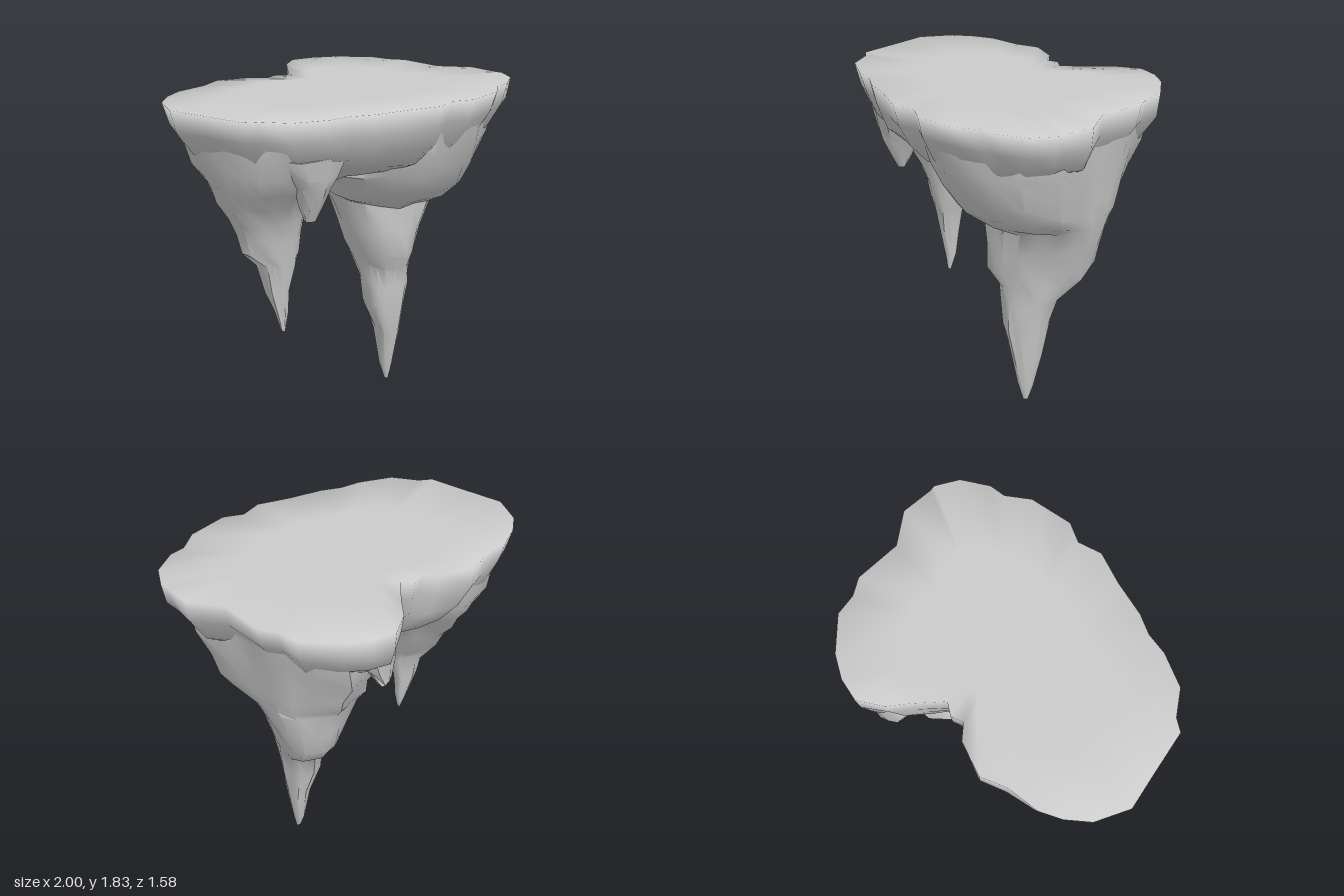
import * as THREE from 'three';
import { toCreasedNormals } from 'three/addons/utils/BufferGeometryUtils.js';

const material = new THREE.MeshStandardMaterial({ color: 0xcccccc });

// Repeatable value in 0..1
const hash = (a, b) => {
  const s = Math.sin(a * 127.1 + b * 311.7) * 43758.5453;
  return s - Math.floor(s);
};

// Plan of the flat top as [x, z], from +x round past the front
const outline = [
  [1, 0], [0.99, 0.14], [0.9, 0.28], [0.82, 0.33], [0.75, 0.46], [0.55, 0.6], [0.43, 0.6],
  [0.33, 0.69], [0.14, 0.71], [-0.06, 0.75], [-0.18, 0.75], [-0.3, 0.785], [-0.5, 0.79],
  [-0.64, 0.71], [-0.72, 0.7], [-0.87, 0.5], [-1, 0.33], [-1, 0.13], [-0.94, 0],
  [-0.86, -0.1], [-0.7, -0.2], [-0.6, -0.31], [-0.4, -0.33], [-0.31, -0.29], [-0.26, -0.34],
  [-0.18, -0.33], [-0.13, -0.5], [-0.1, -0.63], [-0.02, -0.76], [0.11, -0.79], [0.25, -0.78],
  [0.46, -0.7], [0.53, -0.6], [0.62, -0.54], [0.73, -0.3], [0.91, -0.2], [0.98, -0.03],
];

// How far out [x, z] lies, as a fraction of the plan's edge in that direction
function reach(x, z) {
  for (let i = 0; i < outline.length; i++) {
    const [ax, az] = outline[i];
    const [bx, bz] = outline[(i + 1) % outline.length];
    if (ax * z - az * x >= 0 && x * bz - z * bx > 0) {
      return (x * (bz - az) - z * (bx - ax)) / (ax * bz - az * bx);
    }
  }
  return 0;
}

// Skin a stack of equal-length rings, listed from top to bottom, and close both ends
function loft(rings) {
  const n = rings[0].length;
  const positions = rings.flat(2);
  const index = [];
  for (let r = 0; r < rings.length - 1; r++) {
    for (let i = 0; i < n; i++) {
      const j = (i + 1) % n;
      const a = r * n + i, b = r * n + j, c = a + n, d = b + n;
      index.push(a, b, c, b, d, c);
    }
  }
  const addCap = (ring, start, isTop) => {
    const middle = [0, 1, 2].map((k) => ring.reduce((sum, p) => sum + p[k], 0) / n);
    const m = positions.length / 3;
    positions.push(...middle);
    for (let i = 0; i < n; i++) {
      const j = (i + 1) % n;
      if (isTop) index.push(m, start + j, start + i);
      else index.push(m, start + i, start + j);
    }
  };
  addCap(rings[0], 0, true);
  addCap(rings[rings.length - 1], (rings.length - 1) * n, false);
  const geometry = new THREE.BufferGeometry();
  geometry.setAttribute('position', new THREE.Float32BufferAttribute(positions, 3));
  geometry.setIndex(index);
  geometry.computeVertexNormals();
  return geometry;
}

// Tapering rock: each level is [y, xMin, xMax, zMin, zMax], roughened and kept under the slab
function rock(levels, seed, sides = 20) {
  const round = (v) => Math.sign(v) * Math.abs(v) ** 0.87;
  const rings = levels.map(([y, x0, x1, z0, z1], r) => {
    const drop = r < levels.length - 1 ? y - levels[r + 1][0] : 0;
    return Array.from({ length: sides }, (_, i) => {
      const t = (i / sides) * Math.PI * 2;
      const rough = 1.06 - 0.07 * hash(i, seed) - 0.07 * hash(i + 7 * r, seed + 3);
      const x = (x0 + x1) / 2 + ((x1 - x0) / 2) * round(Math.cos(t)) * rough;
      const z = (z0 + z1) / 2 + ((z1 - z0) / 2) * round(Math.sin(t)) * rough;
      const limit = 0.92 - (1.68 - y) * 0.25;
      const pull = Math.min(1, limit / Math.max(reach(x, z), 0.01));
      return [x * pull, y - drop * 0.3 * (hash(i + 3 * r, seed + 5) - 0.3), z * pull];
    });
  });
  return toCreasedNormals(loft(rings), 0.65);
}

// Slab levels as [y, scale of the plan, roughness]
function slab() {
  const levels = [
    [1.83, 0.6, 0], [1.83, 1, 0], [1.72, 0.97, 0.03], [1.6, 0.88, 0.05],
    [1.51, 0.74, 0.06], [1.44, 0.56, 0.05], [1.4, 0.3, 0],
  ];
  return loft(levels.map(([y, scale, rough], r) => outline.map(([x, z], i) => {
    const s = scale - rough * (hash(i >> 1, r) - 0.4);
    return [x * s, y - rough * 0.6 * hash(i, r + 9), z * s];
  })));
}

const mainSpike = [
  [1.72, -0.1, 0.88, -0.74, 0.58], [1.55, -0.13, 0.87, -0.67, 0.53],
  [1.4, -0.15, 0.81, -0.6, 0.45], [1.28, -0.07, 0.75, -0.55, 0.37],
  [1.2, -0.04, 0.69, -0.51, 0.29], [1.16, 0, 0.6, -0.47, 0.21],
  [1.0, 0.07, 0.53, -0.44, 0.21], [0.85, 0.11, 0.48, -0.4, 0.2],
  [0.76, 0.15, 0.46, -0.34, 0.14], [0.65, 0.17, 0.44, -0.2, 0.125],
  [0.5, 0.18, 0.41, -0.16, 0.12], [0.33, 0.25, 0.385, -0.11, 0.08],
  [0.1, 0.28, 0.355, -0.06, 0.03], [0, 0.31, 0.335, -0.03, 0],
];
const sideSpike = [
  [1.7, -0.94, -0.1, -0.28, 0.74], [1.52, -0.86, -0.16, -0.21, 0.66],
  [1.4, -0.79, -0.21, -0.12, 0.58], [1.3, -0.75, -0.26, -0.04, 0.49],
  [1.2, -0.68, -0.28, 0.02, 0.44], [1.1, -0.65, -0.3, 0.08, 0.4],
  [1.01, -0.63, -0.31, 0.15, 0.385], [0.95, -0.55, -0.33, 0.19, 0.36],
  [0.8, -0.51, -0.37, 0.215, 0.34], [0.65, -0.455, -0.38, 0.24, 0.31],
  [0.53, -0.42, -0.4, 0.275, 0.295],
];
const frontNub = [
  [1.62, -0.58, -0.14, 0.4, 0.74], [1.5, -0.48, -0.19, 0.42, 0.7],
  [1.44, -0.42, -0.23, 0.46, 0.68], [1.34, -0.4, -0.27, 0.5, 0.63],
  [1.25, -0.37, -0.31, 0.54, 0.59],
];
const backNub = [
  [1.68, -0.08, 0.16, -0.73, -0.45], [1.54, -0.09, 0.1, -0.71, -0.48],
  [1.44, -0.07, 0.03, -0.69, -0.57],
];

export function createModel() {
  const group = new THREE.Group();
  const add = (name, geometry) => {
    const mesh = new THREE.Mesh(geometry, material);
    mesh.name = name;
    group.add(mesh);
  };
  add('topSlab', slab());
  add('mainSpike', rock(mainSpike, 1));
  add('sideSpike', rock(sideSpike, 2));
  add('frontNub', rock(frontNub, 3, 10));
  add('backNub', rock(backNub, 4, 10));
  return group;
}
